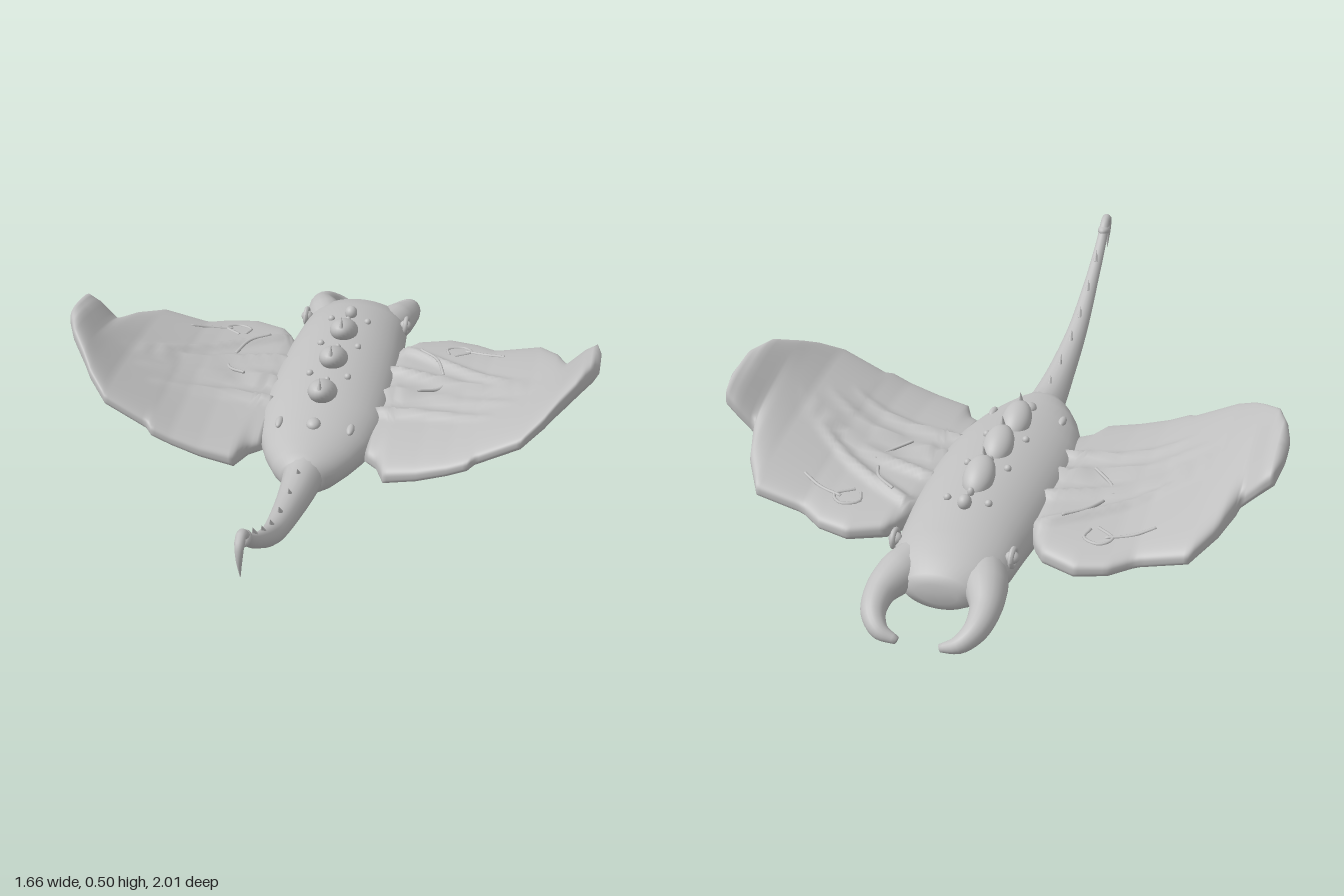
import * as THREE from 'three';

const V = (x, y, z) => new THREE.Vector3(x, y, z);

// Closed skin through a list of rings; each ring is an array of points
function loft(rings) {
  const pos = [], idx = [], n = rings[0].length;
  rings.forEach(r => r.forEach(p => pos.push(p.x, p.y, p.z)));
  for (let i = 0; i < rings.length - 1; i++) {
    for (let j = 0; j < n; j++) {
      const k = (j + 1) % n, a = i * n + j, b = i * n + k, c = b + n, d = a + n;
      idx.push(a, b, c, a, c, d);
    }
  }
  const g = new THREE.BufferGeometry();
  g.setAttribute('position', new THREE.Float32BufferAttribute(pos, 3));
  g.setIndex(idx);
  g.computeVertexNormals();
  return g;
}

function ring(n, fn) {
  return Array.from({ length: n }, (_, j) => fn((j / n) * Math.PI * 2));
}

// Linear lookup in a table whose first column is the key
function lookup(table, key) {
  let i = 0;
  while (i < table.length - 2 && key > table[i + 1][0]) i++;
  const a = table[i], b = table[i + 1];
  const t = THREE.MathUtils.clamp((key - a[0]) / (b[0] - a[0]), 0, 1);
  return a.map((v, c) => v + (b[c] - v) * t);
}

// Tube along points with a radius per point, closed at both ends
function taperedTube(points, radii, steps = 24, sides = 12) {
  const curve = new THREE.CatmullRomCurve3(points);
  const f = curve.computeFrenetFrames(steps);
  const table = radii.map((r, i) => [i / (radii.length - 1), r]);
  const rings = [];
  for (let i = 0; i <= steps; i++) {
    const u = i / steps, t = curve.getUtoTmapping(u);
    const p = curve.getPoint(t), r = lookup(table, t)[1];
    const make = s => ring(sides, a => p.clone()
      .addScaledVector(f.normals[i], Math.cos(a) * s)
      .addScaledVector(f.binormals[i], Math.sin(a) * s));
    if (i === 0) rings.push(make(0));
    rings.push(make(r));
    if (i === steps) rings.push(make(0));
  }
  return loft(rings);
}

function blob(x, y, z, rx, ry, rz) {
  return new THREE.SphereGeometry(1, 20, 14).scale(rx, ry, rz).translate(x, y, z);
}

// Body stations: z, half width, bottom, top
const BODY = [
  [-0.838, 0.06, 0.085, 0.145], [-0.828, 0.1, 0.062, 0.172], [-0.78, 0.15, 0.042, 0.205],
  [-0.7, 0.172, 0.028, 0.23], [-0.6, 0.18, 0.018, 0.247], [-0.5, 0.19, 0.009, 0.257],
  [-0.35, 0.199, 0.003, 0.263], [-0.2, 0.2, 0.01, 0.258], [-0.08, 0.193, 0.023, 0.245],
  [0.03, 0.168, 0.042, 0.227], [0.11, 0.135, 0.057, 0.217], [0.17, 0.1, 0.067, 0.208],
  [0.205, 0.07, 0.08, 0.2], [0.22, 0.045, 0.1, 0.185],
];
function bodyY(x, z, side) {
  const [, w, lo, hi] = lookup(BODY, z);
  return (lo + hi) / 2 + side * ((hi - lo) / 2) * Math.sqrt(Math.max(0, 1 - (x / w) ** 2));
}

// Wing stations: x, front z, back z, front height, back height, half thickness
const WING = [
  [0.16, -0.5, 0.05, 0.14, 0.13, 0.045], [0.2, -0.58, 0.08, 0.14, 0.128, 0.052],
  [0.23, -0.62, 0.145, 0.138, 0.127, 0.055], [0.33, -0.66, 0.15, 0.135, 0.15, 0.052],
  [0.42, -0.64, 0.15, 0.14, 0.18, 0.048], [0.48, -0.6, 0.15, 0.15, 0.207, 0.047],
  [0.5, -0.595, 0.13, 0.155, 0.218, 0.047], [0.63, -0.59, 0.12, 0.185, 0.285, 0.047],
  [0.69, -0.49, 0.06, 0.22, 0.328, 0.048], [0.72, -0.4, 0.015, 0.243, 0.35, 0.048],
  [0.727, -0.372, 0.005, 0.255, 0.354, 0.048], [0.78, -0.372, -0.07, 0.31, 0.385, 0.048],
  [0.815, -0.365, -0.15, 0.34, 0.382, 0.042], [0.83, -0.3, -0.2, 0.36, 0.37, 0.02],
];
// Wing rays: root z, tip x, tip z, width
const RAYS = [[-0.52, 0.66, -0.18, 0.021], [-0.37, 0.64, -0.17, 0.019], [-0.24, 0.6, -0.11, 0.018],
  [-0.13, 0.54, -0.05, 0.017]];
const POW = 0.7;
const spow = v => Math.sign(v) * Math.abs(v) ** POW;

// Height of the raised rays at a place on the wing
function rayHeight(x, z) {
  let h = 0;
  for (const [z0, x1, z1, w] of RAYS) {
    const t = (x - 0.19) / (x1 - 0.19);
    if (t > 1) continue;
    const u = Math.max(t, 0);
    const d = (z - z0 - (z1 - z0) * u + Math.sin(u * Math.PI) * 0.025) / w;
    h = Math.max(h, 0.023 * (1 - u ** 2) * Math.exp(-d * d));
  }
  return h;
}
function wingPoint(x, s, c) {
  const [, zf, zb, yf, yb, th] = lookup(WING, x);
  const z = (zf + zb) / 2 + s * (zb - zf) / 2;
  return V(x, yf + (yb - yf) * (s + 1) / 2 + th * c + (c > 0 ? c * rayHeight(x, z) : 0), z);
}
function wingTop(x, z) {
  const [, zf, zb] = lookup(WING, x);
  const s = THREE.MathUtils.clamp((2 * z - zf - zb) / (zb - zf), -1, 1);
  return wingPoint(x, s, Math.sqrt(1 - Math.abs(s) ** (2 / POW)) ** POW);
}

function wingGeometry() {
  const xs = [];
  WING.slice(0, -1).forEach(([x], i) => {
    const gap = WING[i + 1][0] - x, n = Math.max(1, Math.round(gap / 0.012));
    for (let k = 0; k < n; k++) xs.push(x + gap * k / n);
  });
  xs.push(0.83);
  const rings = xs.map(x => ring(140, a => wingPoint(x, spow(Math.sin(a)), spow(Math.cos(a)))));
  const cap = x => ring(140, () => wingPoint(x, 0, 0));
  return loft([cap(0.16), ...rings, cap(0.83)]);
}

export function createModel() {
  const model = new THREE.Group();
  const skin = new THREE.MeshStandardMaterial({ color: 0xc0c0c0 });
  skin.name = 'light grey skin';

  const add = (name, geo) => {
    const m = new THREE.Mesh(geo, skin);
    m.name = name;
    model.add(m);
  };
  // Adds a part and its mirror image across x = 0
  const pair = (name, geo) => {
    add(name + 'Left', geo);
    const g = geo.clone().scale(-1, 1, 1), a = g.index.array;
    for (let i = 0; i < a.length; i += 3) [a[i], a[i + 1]] = [a[i + 1], a[i]];
    g.computeVertexNormals();
    add(name + 'Right', g);
  };

  // Body
  const bodyRing = ([z, w, lo, hi], k = 1) => ring(40, a =>
    V(Math.cos(a) * w * k, (lo + hi) / 2 + Math.sin(a) * k * (hi - lo) / 2, z));
  add('body', loft([bodyRing(BODY[0], 0), ...BODY.map(r => bodyRing(r)), bodyRing(BODY.at(-1), 0)]));

  // Tail with a hooked tip
  add('tail', taperedTube(
    [V(0, 0.14, 0.12), V(0, 0.145, 0.25), V(0, 0.17, 0.4), V(0, 0.23, 0.6), V(0, 0.335, 0.78),
      V(0, 0.425, 0.9), V(0, 0.485, 0.96), V(0, 0.475, 0.982), V(0, 0.43, 0.992), V(0, 0.37, 0.985)],
    [0.07, 0.056, 0.044, 0.032, 0.022, 0.017, 0.014, 0.014, 0.009, 0.001], 60, 16));
  const thorns = [[0.27, 0.195], [0.39, 0.208], [0.52, 0.237], [0.63, 0.272], [0.73, 0.325], [0.83, 0.39]];
  for (const [z, y] of thorns) {
    add('tailThorn', new THREE.ConeGeometry(0.009, 0.04, 8).rotateX(0.5).translate(0, y + 0.012, z));
  }
  add('tailBarb', blob(0, 0.455, 0.935, 0.02, 0.017, 0.032));

  // Curved head horns
  pair('horn', taperedTube(
    [V(0.09, 0.13, -0.7), V(0.125, 0.13, -0.79), V(0.148, 0.117, -0.87), V(0.142, 0.095, -0.94),
      V(0.11, 0.072, -0.98), V(0.06, 0.056, -0.988)],
    [0.065, 0.06, 0.043, 0.034, 0.025, 0.011], 30, 18));

  // Eyes with raised lids
  pair('eye', blob(0.168, 0.172, -0.69, 0.02, 0.018, 0.018));
  pair('eyelid', new THREE.TorusGeometry(0.024, 0.008, 10, 24).rotateY(Math.PI / 2).translate(0.17, 0.172, -0.69));

  // Wings with raised rays
  pair('wing', wingGeometry());

  // Thin surface scars on the wings
  const scars = [
    [[0.34, -0.51], [0.33, -0.55], [0.38, -0.57], [0.41, -0.54], [0.36, -0.5]],
    [[0.39, -0.54], [0.46, -0.52], [0.52, -0.49]],
    [[0.25, -0.49], [0.31, -0.44], [0.34, -0.37]],
    [[0.36, -0.34], [0.34, -0.28], [0.28, -0.23]],
  ];
  for (const s of scars) {
    pair('wingScar', taperedTube(s.map(([x, z]) => wingTop(x, z)), s.map(() => 0.005), 16, 8));
  }

  // Back pods rising to the rear, each with a spike, flanked by small knobs
  for (const z of [-0.46, -0.28, -0.1]) {
    const y = bodyY(0, z, 1);
    add('backPod', new THREE.SphereGeometry(1, 24, 16).scale(0.045, 0.038, 0.072)
      .rotateX(-0.45).translate(0, y + 0.01, z));
    add('podSpike', new THREE.ConeGeometry(0.011, 0.055, 10).rotateX(-0.2).translate(0, y + 0.057, z + 0.05));
    add('podKnob', blob(0, y + 0.002, z - 0.075, 0.01, 0.014, 0.01));
    pair('backKnob', blob(0.06, bodyY(0.06, z - 0.1, 1) + 0.003, z - 0.1, 0.011, 0.011, 0.011));
  }
  add('frontKnob', blob(0, 0.26, -0.59, 0.02, 0.022, 0.022));
  add('rearKnob', blob(0, bodyY(0, 0.04, 1), 0.04, 0.022, 0.018, 0.025));
  pair('rearBump', blob(0.11, bodyY(0.11, 0.02, 1), 0.02, 0.012, 0.012, 0.028));

  // Gill ridges across the belly
  for (let i = 0; i < 5; i++) {
    const z = -0.58 + i * 0.045;
    const pts = [-0.09, -0.045, 0, 0.045, 0.09].map(x => V(x, bodyY(x, z, -1) + 0.003, z));
    add('gill', taperedTube(pts, [0.005, 0.009, 0.009, 0.009, 0.005], 16, 8));
  }
  return model;
}
